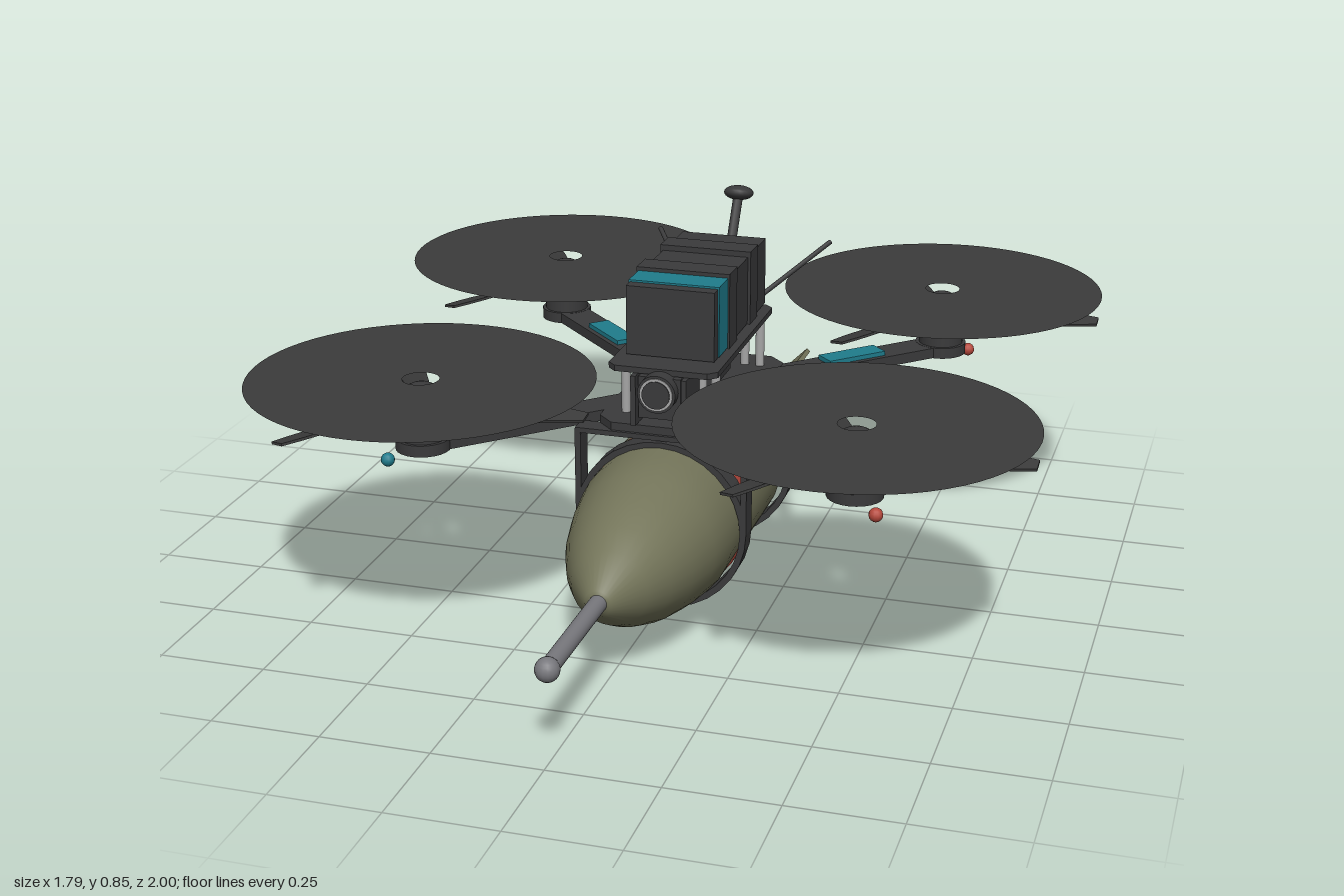
import * as THREE from 'three';

const mat = (name, color, side = THREE.FrontSide) => {
  const m = new THREE.MeshStandardMaterial({ color, side });
  m.name = name;
  return m;
};

export function createModel() {
  const model = new THREE.Group();
  const dark = mat('carbon', 0x3a3a3b);
  const rotor = mat('rotor grey', 0x3b3b3b, THREE.DoubleSide);
  const olive = mat('olive', 0x74755a);
  const teal = mat('teal', 0x1f7c8c);
  const red = mat('red', 0xb5483c);
  const steel = mat('steel', 0x78787d);
  const silver = mat('silver', 0xa6a6a6);

  const add = (name, geo, material, x = 0, y = 0, z = 0, parent = model) => {
    const m = new THREE.Mesh(geo, material);
    m.name = name;
    m.position.set(x, y, z);
    parent.add(m);
    return m;
  };
  const box = (name, w, h, d, material, x, y, z, parent) =>
    add(name, new THREE.BoxGeometry(w, h, d), material, x, y, z, parent);
  const cyl = (name, r, h, material, x, y, z, parent, seg = 24) =>
    add(name, new THREE.CylinderGeometry(r, r, h, seg), material, x, y, z, parent);
  const rod = (name, a, b, r, material) => {
    const p = new THREE.Vector3(...a), q = new THREE.Vector3(...b);
    const dir = q.clone().sub(p);
    const m = cyl(name, r, dir.length(), material, 0, 0, 0, model, 10);
    m.position.copy(p).add(q).multiplyScalar(0.5);
    m.quaternion.setFromUnitVectors(new THREE.Vector3(0, 1, 0), dir.normalize());
    return m;
  };
  // solid of revolution along z, points are [radius, z] from back to front
  const latheZ = (name, pts, material, y) =>
    add(name, new THREE.LatheGeometry(pts.map(p => new THREE.Vector2(...p)), 32).rotateX(Math.PI / 2), material, 0, y, 0);

  // hanging body, band, nose probe and tail
  const AY = 0.213;
  latheZ('body', [[0, -0.41], [0.05, -0.41], [0.1, -0.355], [0.155, -0.28], [0.178, -0.245], [0.186, -0.215],
    [0.186, 0.235], [0.172, 0.33], [0.15, 0.425], [0.122, 0.5], [0.088, 0.565], [0.03, 0.645], [0, 0.645]], olive, AY);
  latheZ('band', [[0.18, 0.085], [0.19, 0.085], [0.19, 0.136], [0.18, 0.136]], red, AY);
  latheZ('tailTube', [[0, -0.775], [0.05, -0.775], [0.05, -0.4]], olive, AY);
  latheZ('probe', [[0.02, 0.62], [0.02, 0.97]], steel, AY);
  add('probeTip', new THREE.SphereGeometry(0.027, 16, 12), steel, 0, AY, 0.968);
  for (let i = 0; i < 4; i++) {
    const fin = new THREE.Group();
    fin.name = 'tailFin';
    fin.position.set(0, AY, -0.62);
    fin.rotation.z = Math.PI / 4 + i * Math.PI / 2;
    box('finPlate', 0.135, 0.012, 0.265, olive, 0.108, 0, 0, fin);
    model.add(fin);
  }

  // carrying straps: a faceted ring and two hangers each
  for (const z of [0.163, -0.282]) {
    const ring = new THREE.Shape().absarc(0, 0, 0.206, 0, Math.PI * 2);
    ring.holes.push(new THREE.Path().absarc(0, 0, 0.191, 0, Math.PI * 2, true));
    const geo = new THREE.ExtrudeGeometry(ring, { depth: 0.05, bevelEnabled: false, curveSegments: 16 });
    add('strapRing', geo, dark, 0, AY - 0.007, z - 0.025);
    for (const s of [-1, 1]) box('strapHanger', 0.014, 0.22, 0.05, dark, s * 0.199, 0.315, z);
    box('strapTop', 0.41, 0.012, 0.05, dark, 0, 0.422, z);
  }

  // frame plates with cut corners
  const plate = (name, w, d, c, h, y, z) => {
    const s = new THREE.Shape();
    [[-w, -d + c], [-w + c, -d], [w - c, -d], [w, -d + c], [w, d - c], [w - c, d], [-w + c, d], [-w, d - c]]
      .forEach(([x, v], i) => (i ? s.lineTo(x, v) : s.moveTo(x, v)));
    const geo = new THREE.ExtrudeGeometry(s, { depth: h, bevelEnabled: false }).rotateX(-Math.PI / 2);
    return add(name, geo, dark, 0, y, z);
  };
  plate('lowerPlate', 0.16, 0.275, 0.04, 0.027, 0.42, -0.095);
  plate('upperPlate', 0.13, 0.265, 0.02, 0.014, 0.573, -0.085);
  for (const s of [-1, 1]) for (const [x, z] of [[0.108, 0.1], [0.108, -0.3], [0.07, -0.3], [0.07, 0.08]])
    cyl('standoff', 0.011, 0.13, silver, s * x, 0.51, z, model, 12);

  // twisted, tapered propeller blade
  const bladeGeo = new THREE.BoxGeometry(0.375, 0.006, 1, 8, 1, 2);
  const p = bladeGeo.attributes.position;
  for (let i = 0; i < p.count; i++) {
    const t = p.getX(i) / 0.375 + 0.5;
    const chord = 0.03 + 0.05 * Math.sin(Math.PI * Math.min(1, t * 0.85 + 0.1));
    const a = 0.5 - 0.35 * t, v = p.getZ(i) * chord, h = p.getY(i);
    p.setXYZ(i, 0.015 + t * 0.375, h * Math.cos(a) - v * Math.sin(a), v * Math.cos(a) + h * Math.sin(a));
  }
  bladeGeo.computeVertexNormals();

  // four arms with motors, propellers, spin discs and lights
  const CZ = -0.112;
  for (const sx of [-1, 1]) for (const sz of [-1, 1]) {
    const mx = sx * 0.5, mz = CZ + sz * 0.497;
    const arm = new THREE.Group();
    arm.name = 'arm';
    arm.position.set(0, 0, CZ);
    arm.rotation.y = Math.atan2(-sz * 0.497, mx);
    box('armBeam', 0.68, 0.026, 0.08, dark, 0.39, 0.433, 0, arm);
    box('armPanel', 0.16, 0.012, 0.055, teal, 0.44, 0.451, 0, arm);
    model.add(arm);

    const unit = new THREE.Group();
    unit.name = 'rotorUnit';
    unit.position.set(mx, 0, mz);
    model.add(unit);
    cyl('motorMount', 0.063, 0.027, dark, 0, 0.433, 0, unit);
    cyl('motorBase', 0.055, 0.03, dark, 0, 0.46, 0, unit);
    cyl('motorWinding', 0.054, 0.012, silver, 0, 0.48, 0, unit);
    cyl('motorBell', 0.06, 0.036, dark, 0, 0.504, 0, unit);
    const dome = add('hubDome', new THREE.SphereGeometry(0.056, 24, 8, 0, Math.PI * 2, 0, Math.PI / 2), dark, 0, 0.522, 0, unit);
    dome.scale.y = 0.98;
    for (let i = 0; i < 3; i++)
      add('blade', bladeGeo, rotor, 0, 0.533, 0, unit).rotation.y = i * Math.PI * 2 / 3;
    add('spinDisc', new THREE.RingGeometry(0.042, 0.395, 64).rotateX(-Math.PI / 2), rotor, 0, 0.585, 0, unit);
    add('light', new THREE.SphereGeometry(0.016, 12, 8), sx > 0 ? red : teal, sx * 0.56, 0.408, mz + sz * 0.065);
  }

  // battery pack with label and two straps
  box('battery', 0.21, 0.165, 0.46, dark, 0, 0.672, -0.125);
  box('batteryLabel', 0.216, 0.168, 0.078, teal, 0, 0.675, 0.035);
  for (const z of [-0.033, -0.22]) box('batteryStrap', 0.224, 0.18, 0.066, dark, 0, 0.678, z);

  // electronics and front camera
  box('electronics', 0.11, 0.075, 0.14, dark, 0, 0.497, -0.15);
  box('camera', 0.1, 0.1, 0.1, dark, 0, 0.52, 0.14);
  for (const s of [-1, 1]) box('cameraBracket', 0.012, 0.12, 0.11, dark, s * 0.06, 0.512, 0.145);
  const lens = (name, r, h, m, z) => { cyl(name, r, h, m, 0, 0.538, z).rotation.x = Math.PI / 2; };
  lens('lensBarrel', 0.045, 0.04, dark, 0.195);
  lens('lensRim', 0.039, 0.006, silver, 0.215);
  lens('lensGlass', 0.033, 0.006, dark, 0.218);

  // antennas
  rod('mastAntenna', [0, 0.585, -0.34], [0, 0.82, -0.485], 0.012, dark);
  const cap = add('antennaCap', new THREE.SphereGeometry(0.037, 20, 12), dark, 0, 0.826, -0.49);
  cap.scale.y = 0.5;
  cap.rotation.x = -0.25;
  for (const s of [-1, 1]) rod('whipAntenna', [s * 0.07, 0.588, -0.33], [s * 0.222, 0.7, -0.55], 0.006, dark);

  return model;
}
